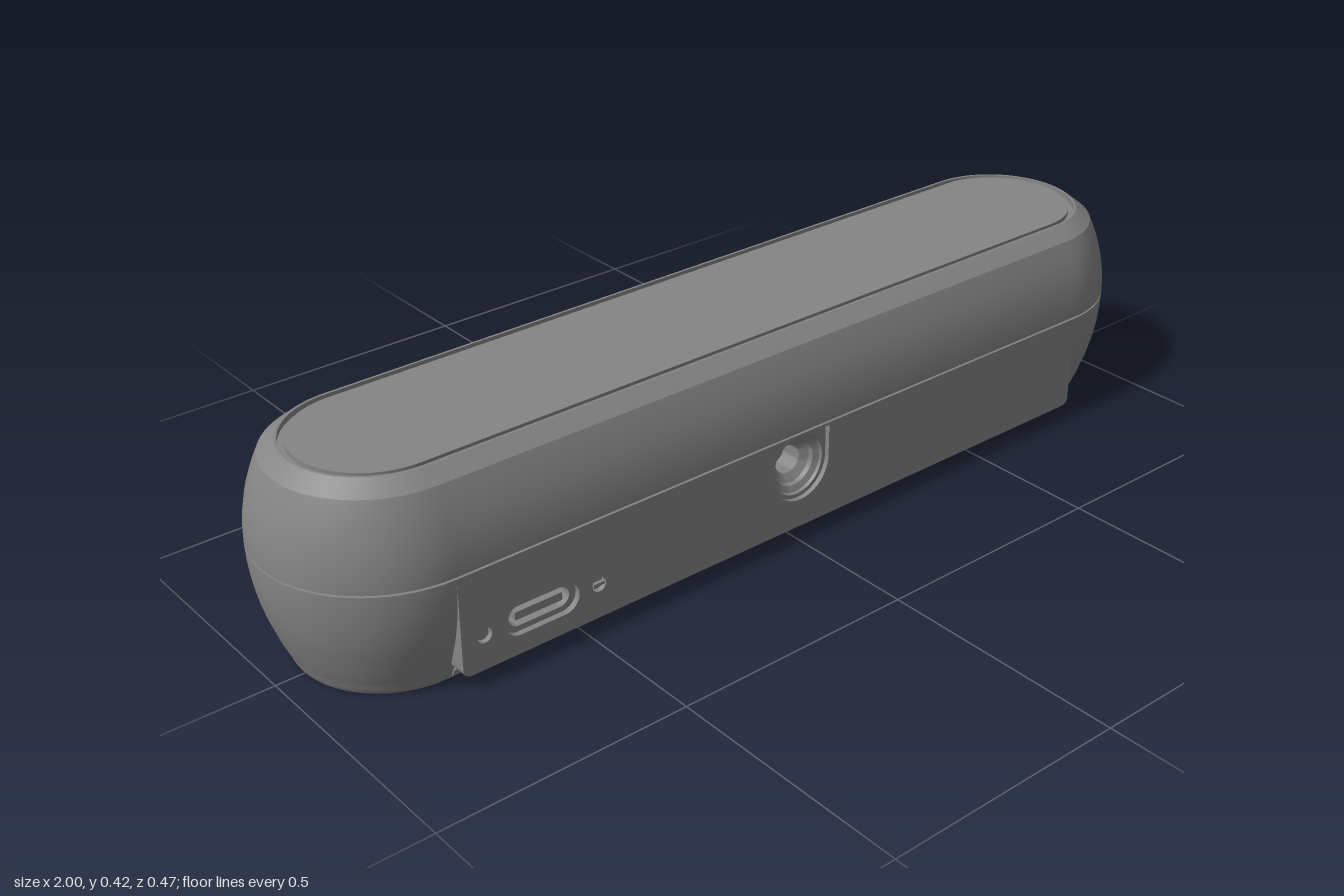
import * as THREE from 'three';
import { toCreasedNormals } from 'three/addons/utils/BufferGeometryUtils.js';

const HALF = 0.767; // half length of the straight middle section
const ARC = 32;     // steps per rounded end
const grey = new THREE.MeshStandardMaterial({ color: 0x858585 });
const greyDouble = new THREE.MeshStandardMaterial({ color: 0x858585, side: THREE.DoubleSide });

// Bulging wall: radius at a height, widest at the seam
const lowerRadius = (y) => 0.233 - 1.07 * (0.234 - y) ** 2;
const upperRadius = (y) => 0.233 - 1.52 * (y - 0.238) ** 2;

function add(group, name, geometry, x = 0, y = 0, z = 0, material = grey) {
  const mesh = new THREE.Mesh(geometry, material);
  mesh.name = name;
  mesh.position.set(x, y, z);
  group.add(mesh);
  return mesh;
}

// Pill outline, long along x
function pill(half, r, cx = 0, cy = 0, Type = THREE.Shape) {
  const s = new Type();
  s.absarc(cx + half, cy, r, -Math.PI / 2, Math.PI / 2);
  s.absarc(cx - half, cy, r, Math.PI / 2, Math.PI * 1.5);
  s.closePath();
  return s;
}

function circle(r, cx, cy, Type = THREE.Path) {
  return new Type().absarc(cx, cy, r, 0, Math.PI * 2);
}

function extrude(shape, depth) {
  return new THREE.ExtrudeGeometry(shape, { depth, bevelEnabled: false, curveSegments: ARC });
}

// Sweeps a [radius, y] profile around the pill outline; skip() leaves openings
function loft(profile, skip) {
  const pos = [], index = [], ring = 2 * (ARC + 1);
  for (const [r, y] of profile) {
    for (const side of [1, -1]) {
      for (let k = 0; k <= ARC; k++) {
        const a = -Math.PI / 2 + Math.PI * k / ARC;
        pos.push(side * (HALF + r * Math.cos(a)), y, side * r * Math.sin(a));
      }
    }
  }
  for (let i = 0; i < profile.length - 1; i++) {
    for (let j = 0; j < ring; j++) {
      if (skip(profile[i][1], profile[i + 1][1], j)) continue;
      const a = i * ring + j, b = i * ring + (j + 1) % ring;
      index.push(a, a + ring, b, b, a + ring, b + ring);
    }
  }
  const g = new THREE.BufferGeometry();
  g.setAttribute('position', new THREE.Float32BufferAttribute(pos, 3));
  g.setIndex(index);
  return toCreasedNormals(g, 0.4);
}

// U-shaped outline around the jack
function uShape(r, cy, top, Type) {
  const s = new Type();
  s.moveTo(-r, top);
  s.lineTo(-r, cy);
  s.absarc(0, cy, r, Math.PI, Math.PI * 2);
  s.lineTo(r, top);
  s.closePath();
  return s;
}

export function createModel() {
  const model = new THREE.Group();

  // Housing: lower shell, seam groove, upper shell, chamfer and top groove
  const profile = [
    [0.17, 0], [0.176, 0.002], [0.1795, 0.007],
    ...[0.015, 0.033, 0.05, 0.1, 0.125, 0.15, 0.175, 0.205, 0.234].map((y) => [lowerRadius(y), y]),
    [0.222, 0.234], [0.222, 0.238],
    ...[0.238, 0.265, 0.29, 0.315, 0.335, 0.355, 0.375, 0.396].map((y) => [upperRadius(y), y]),
    [0.164, 0.42], [0.159, 0.42], [0.159, 0.409], [0.148, 0.409], [0.148, 0.419],
  ];
  add(model, 'housing', loft(profile, (y0, y1, j) =>
    (j === ARC && y0 >= 0.05 && y1 <= 0.234 && y1 > y0) ||
    (j === 2 * ARC + 1 && y0 === 0.05)));

  // Top panel inside its groove
  const top = extrude(pill(HALF, 0.148), 0.01);
  top.rotateX(-Math.PI / 2);
  add(model, 'topPanel', top, 0, 0.409, 0);

  // Base with two recessed screws
  const baseShape = pill(HALF, 0.17);
  for (const s of [-1, 1]) baseShape.holes.push(circle(0.045, s * HALF, 0));
  const base = extrude(baseShape, 0.012);
  base.rotateX(Math.PI / 2);
  add(model, 'base', base, 0, 0.012, 0);
  for (const s of [-1, 1]) {
    add(model, 'screwSeat', new THREE.CylinderGeometry(0.05, 0.05, 0.01, 32), s * HALF, 0.014, 0);
    const head = circle(0.029, 0, 0, THREE.Shape);
    head.holes.push(new THREE.Path(
      Array.from({ length: 6 }, (_, k) => new THREE.Vector2(
        0.014 * Math.cos(k * Math.PI / 3), 0.014 * Math.sin(k * Math.PI / 3)))));
    const screw = extrude(head, 0.006);
    screw.rotateX(Math.PI / 2);
    add(model, 'screwHead', screw, s * HALF, 0.01, 0);
  }

  // Flat front panel with openings
  const w = HALF, y0 = 0.033, y1 = 0.234, c = 0.018;
  const portX = -0.599, portY = 0.102, jackY = 0.162;
  const panel = new THREE.Shape();
  panel.moveTo(-w, y1);
  panel.lineTo(-w, y0 + c);
  panel.quadraticCurveTo(-w, y0, -w + c, y0);
  panel.lineTo(w - c, y0);
  panel.quadraticCurveTo(w, y0, w, y0 + c);
  panel.lineTo(w, y1);
  panel.holes.push(pill(0.047, 0.031, portX, portY, THREE.Path), uShape(0.07, jackY, 0.228, THREE.Path));
  for (const s of [-1, 1]) panel.holes.push(circle(0.015, portX + s * 0.121, portY));
  add(model, 'frontPanel', extrude(panel, 0.05), 0, 0, 0.183);

  // Concave fillet below the front panel
  const cove = new THREE.Shape();
  cove.moveTo(-0.17, 0.034);
  cove.lineTo(-0.212, 0.034);
  cove.lineTo(-0.212, 0.033);
  cove.quadraticCurveTo(-0.192, 0.033, -0.186, 0.016);
  cove.quadraticCurveTo(-0.183, 0.008, -0.176, 0.003);
  cove.lineTo(-0.17, 0.003);
  const coveWidth = w - c / 2;
  const coveGeo = extrude(cove, 2 * coveWidth);
  coveGeo.rotateY(Math.PI / 2);
  add(model, 'panelFillet', toCreasedNormals(coveGeo, 0.5), -coveWidth, 0, 0);

  // Charging port: rim, floor and tongue
  const rim = pill(0.047, 0.031, portX, portY);
  rim.holes.push(pill(0.044, 0.02, portX, portY, THREE.Path));
  add(model, 'portRim', extrude(rim, 0.034), 0, 0, 0.187);
  add(model, 'portFloor', new THREE.BoxGeometry(0.16, 0.07, 0.01), portX, portY, 0.183);
  add(model, 'portTongue', new THREE.BoxGeometry(0.1, 0.016, 0.034), portX, portY, 0.203);

  // Pinhole and slotted button either side of the port
  for (const s of [-1, 1]) {
    const x = portX + s * 0.121;
    const pin = new THREE.CylinderGeometry(0.012, 0.012, 0.03, 24);
    pin.rotateX(Math.PI / 2);
    add(model, 'indicator', pin, x, portY, 0.211);
    add(model, 'indicatorSeat', new THREE.BoxGeometry(0.04, 0.04, 0.03), x, portY, 0.205);
  }
  add(model, 'indicatorBar', new THREE.BoxGeometry(0.024, 0.006, 0.01), portX + 0.121, portY, 0.228);

  // Jack: U-shaped seat and funnel-shaped socket
  const seat = uShape(0.07, jackY, 0.228, THREE.Shape);
  seat.holes.push(circle(0.062, 0, jackY));
  add(model, 'jackSeat', extrude(seat, 0.037), 0, 0, 0.186);
  const socket = new THREE.LatheGeometry([
    [0.062, 0.223], [0.06, 0.217], [0.048, 0.212], [0.046, 0.203], [0.03, 0.193], [0.03, 0.15], [0, 0.15],
  ].map(([r, z]) => new THREE.Vector2(r, z)), 40);
  socket.rotateX(Math.PI / 2);
  add(model, 'jackSocket', toCreasedNormals(socket, 0.6), 0, jackY, 0, greyDouble);

  // Sloped rear strip with a recessed slot
  const rise = 0.05, run = lowerRadius(0.1) - lowerRadius(0.05), len = Math.hypot(rise, run);
  const rear = new THREE.Group();
  rear.name = 'rearSlot';
  const strip = new THREE.Shape();
  strip.moveTo(-HALF, 0);
  strip.lineTo(HALF, 0);
  strip.lineTo(HALF, len);
  strip.lineTo(-HALF, len);
  strip.holes.push(pill(0.135, 0.023, 0, len / 2, THREE.Path));
  const stripGeo = extrude(strip, 0.015);
  // Bend the outer normals so the strip shades with the curved wall
  const p = stripGeo.attributes.position, n = stripGeo.attributes.normal;
  for (let i = 0; i < p.count; i++) {
    if (n.getZ(i) > 0.9) n.setXYZ(i, 0, 0.048 * (2 * p.getY(i) / len - 1), 1);
  }
  add(rear, 'rearStrip', stripGeo, 0, 0, -0.015);
  add(rear, 'slotFloor', new THREE.BoxGeometry(0.36, len, 0.01), 0, len / 2, -0.012);
  const a = rise / len, b = run / len;
  rear.applyMatrix4(new THREE.Matrix4().makeBasis(
    new THREE.Vector3(-1, 0, 0), new THREE.Vector3(0, a, -b), new THREE.Vector3(0, -b, -a),
  ).setPosition(0, 0.05, -lowerRadius(0.05)));
  model.add(rear);

  return model;
}
